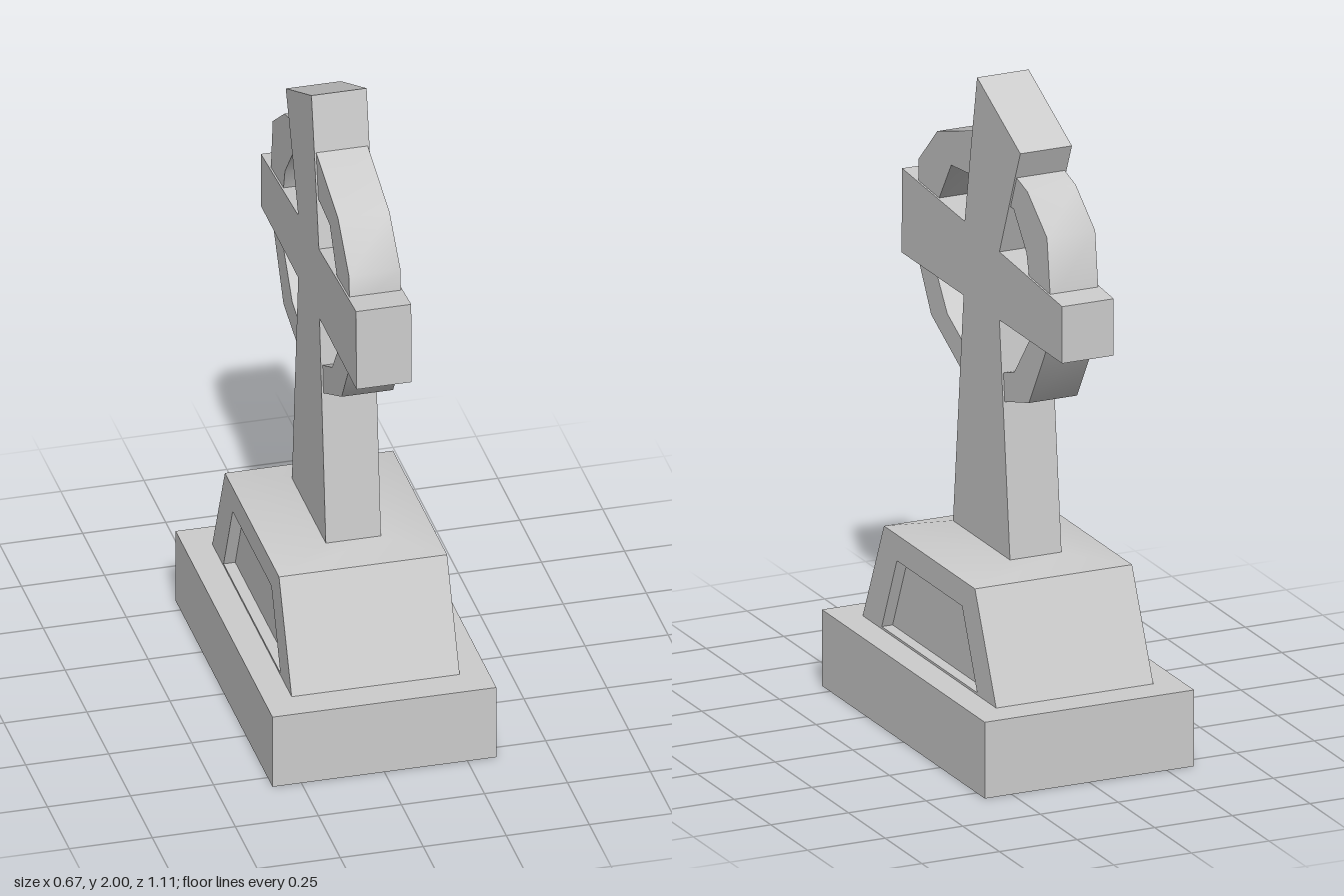
import * as THREE from 'three';
import { toCreasedNormals } from 'three/addons/utils/BufferGeometryUtils.js';

const material = new THREE.MeshStandardMaterial({ color: 0xcccccc });

function addMesh(group, name, geometry) {
  const mesh = new THREE.Mesh(geometry, material);
  mesh.name = name;
  group.add(mesh);
  return mesh;
}

const toPoints = (list) => list.map(([z, y]) => new THREE.Vector2(z, y));

// Extrudes a [z, y] outline along x, centred on x = 0
function slab(outline, thickness, hole) {
  const shape = new THREE.Shape(toPoints(outline));
  if (hole) shape.holes.push(new THREE.Path(toPoints(hole)));
  const geometry = new THREE.ExtrudeGeometry(shape, { depth: thickness, bevelEnabled: false });
  geometry.translate(0, 0, -thickness / 2);
  geometry.rotateY(-Math.PI / 2);
  return geometry;
}

// Symmetric trapezoid outline in [z, y]
const trapezoid = (low, y0, high, y1) => [[-low, y0], [low, y0], [high, y1], [-high, y1]];

export function createModel() {
  const model = new THREE.Group();
  model.name = 'stoneCross';

  // Plinth
  const plinth = new THREE.BoxGeometry(0.674, 0.235, 1.11);
  plinth.translate(0, 0.1175, 0);
  addMesh(model, 'plinth', plinth);

  // Tapered pedestal: a core with a framed, sunken panel on each broad side
  const halfWidth = 0.253;
  const recess = 0.035;
  const body = trapezoid(0.455, 0.235, 0.31, 0.557);
  const panel = trapezoid(0.325, 0.242, 0.222, 0.477);
  addMesh(model, 'pedestalCore', slab(body, 2 * (halfWidth - recess)));
  for (const side of [-1, 1]) {
    const frame = addMesh(model, side > 0 ? 'leftPanelFrame' : 'rightPanelFrame', slab(body, recess, panel));
    frame.position.x = side * (halfWidth - recess / 2);
  }

  // Shallow hipped cap on the pedestal
  const cap = new THREE.BoxGeometry(2 * halfWidth, 0.026, 0.62);
  const pos = cap.attributes.position;
  for (let i = 0; i < pos.count; i++) {
    if (pos.getY(i) > 0) {
      pos.setX(i, Math.sign(pos.getX(i)) * 0.083);
      pos.setZ(i, Math.sign(pos.getZ(i)) * 0.2);
    }
  }
  cap.translate(0, 0.57, 0);
  cap.computeVertexNormals();
  addMesh(model, 'pedestalCap', toCreasedNormals(cap, 0.6));

  // Cross: tapering shaft, uneven arms and a crooked head
  addMesh(model, 'cross', slab([
    [0.2, 0.575], [0.127, 1.3], [0.55, 1.3], [0.546, 1.56], [0.12, 1.53],
    [0.068, 1.825], [0.035, 2.0], [-0.26, 1.857], [-0.223, 1.77], [-0.117, 1.51],
    [-0.545, 1.475], [-0.545, 1.3], [-0.117, 1.3], [-0.19, 0.575],
  ], 0.166));

  // Ring quarters, their ends buried in the shaft and arms
  const ringQuarters = {
    upperFrontRing: [[0.45, 1.5], [0.445, 1.62], [0.318, 1.745], [0.03, 1.837], [0.05, 1.687],
      [0.223, 1.67], [0.333, 1.5]],
    upperBackRing: [[-0.455, 1.45], [-0.43, 1.65], [-0.297, 1.75], [-0.17, 1.785], [-0.15, 1.67],
      [-0.202, 1.668], [-0.29, 1.56], [-0.318, 1.45]],
    lowerFrontRing: [[0.464, 1.34], [0.36, 1.167], [0.1, 1.035], [0.1, 1.129], [0.25, 1.204], [0.346, 1.34]],
    lowerBackRing: [[-0.448, 1.34], [-0.307, 1.103], [-0.1, 1.043], [-0.1, 1.13], [-0.207, 1.167],
      [-0.345, 1.34]],
  };
  for (const [name, outline] of Object.entries(ringQuarters)) {
    addMesh(model, name, toCreasedNormals(slab(outline, 0.155), 1.0));
  }

  return model;
}
